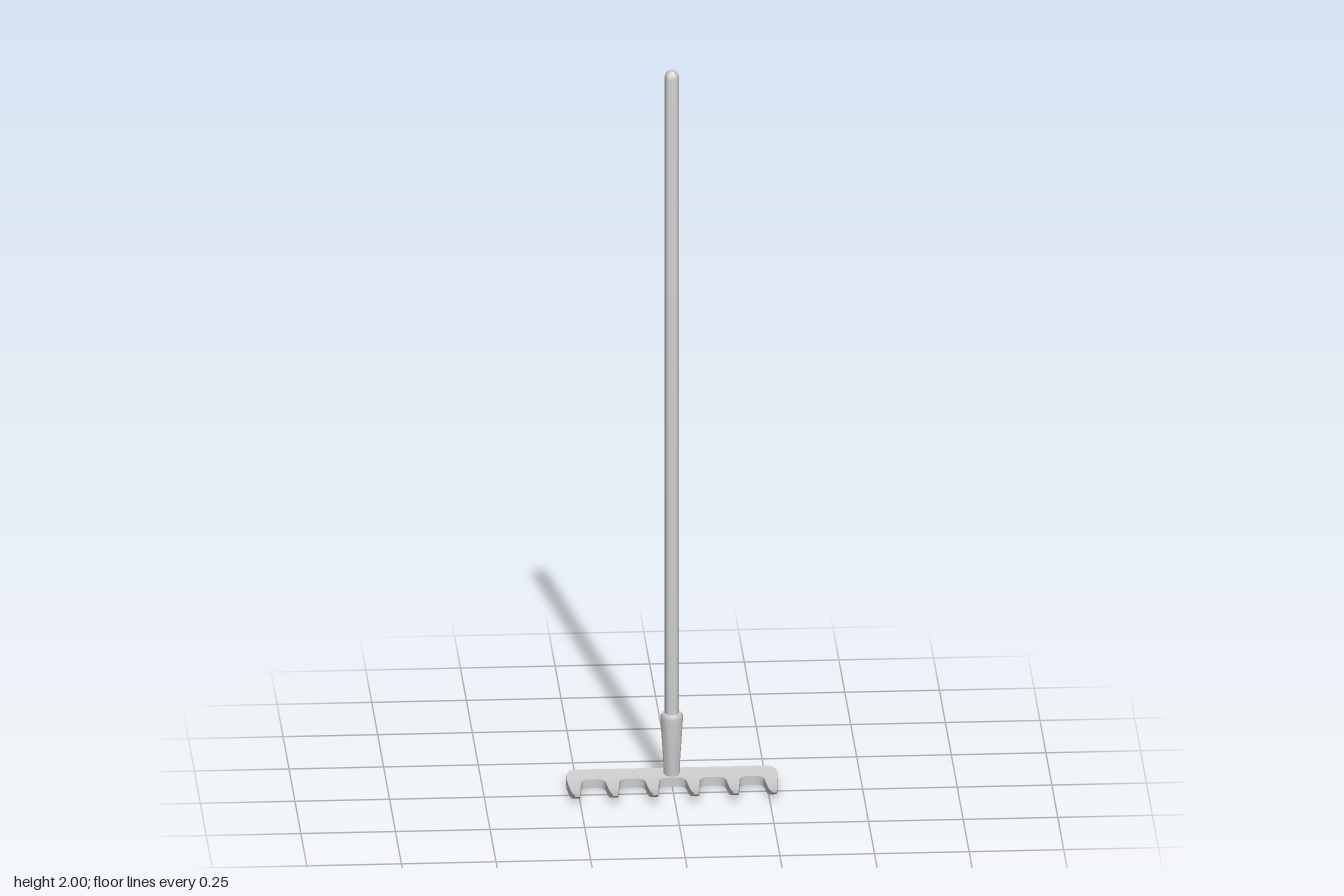
import * as THREE from 'three';
import { toCreasedNormals } from 'three/addons/utils/BufferGeometryUtils.js';

const BACK = -0.1, ROOT = -0.047, TIP = 0.101; // z of bar back, tine root, tine tip
const CORNER = 0.028, FILLET = 0.02;
const HANDLE_Z = -0.073;

// Curved side profile shared by the bar and the tines
const topY = z => 0.023 + (z > 0.01 ? 1.75 : 1.05) * (z - 0.01) ** 2;
const bottomY = z => (z > -0.01 ? 2.6 : 1.2) * (z + 0.01) ** 2;

// Distance an edge is set back by a rounded corner of radius r, at depth d
const setback = (r, d) => (d >= r ? 0 : r - Math.sqrt(r * r - (r - d) ** 2));

// A box whose rows follow the z list, the side edges and the curved profile
function plate(zs, left, right) {
  const n = zs.length - 1;
  const geo = new THREE.BoxGeometry(1, 1, 1, 1, 1, n);
  const p = geo.attributes.position;
  for (let i = 0; i < p.count; i++) {
    const z = zs[Math.round((p.getZ(i) + 0.5) * n)];
    p.setXYZ(i,
      p.getX(i) < 0 ? left(z) : right(z),
      p.getY(i) < 0 ? bottomY(z) : topY(z),
      z);
  }
  return toCreasedNormals(geo, 0.6);
}

function turned(points, sides) {
  const geo = new THREE.LatheGeometry(points.map(([r, y]) => new THREE.Vector2(r, y)), sides);
  return toCreasedNormals(geo, 0.7);
}

export function createModel() {
  const group = new THREE.Group();
  const material = new THREE.MeshStandardMaterial({ color: 0xcccccc });
  const add = (name, geo, z = 0) => {
    const mesh = new THREE.Mesh(geo, material);
    mesh.name = name;
    mesh.position.z = z;
    group.add(mesh);
  };

  // Head bar with rounded back corners
  const halfWidth = z => 0.279 - setback(CORNER, z - BACK);
  const barRows = [0, 0.002, 0.008, 0.017, 0.028].map(d => BACK + d).concat(ROOT);
  add('headBar', plate(barRows, z => -halfWidth(z), halfWidth));

  // Six tapering, upturned tines with fillets at their roots
  const tineRows = [0, 0.0015, 0.006, 0.012, 0.02].map(d => ROOT + d);
  for (let i = 1; i <= 10; i++) tineRows.push(THREE.MathUtils.lerp(ROOT + 0.02, TIP, i / 10));
  const half = z => THREE.MathUtils.mapLinear(z, ROOT, TIP, 0.019, 0.0065);
  const flare = z => setback(FILLET, z - ROOT);
  [-0.26, -0.159, -0.054, 0.054, 0.159, 0.26].forEach((x, i) => {
    const left = z => x - half(z) - (i === 0 ? 0 : flare(z));
    const right = z => x + half(z) + (i === 5 ? 0 : flare(z));
    add('tine' + (i + 1), plate(tineRows, left, right));
  });

  // Tapered socket holding the handle
  add('socket', turned([
    [0, 0.02], [0.021, 0.02], [0.022, 0.06], [0.03, 0.185], [0.0295, 0.194],
    [0.026, 0.2], [0.019, 0.2],
  ], 12), HANDLE_Z);

  // Long handle with a rounded end
  add('handle', turned([
    [0.0195, 0.19], [0.0195, 1.98], [0.0175, 1.991], [0.011, 2], [0, 2],
  ], 12), HANDLE_Z);

  return group;
}
